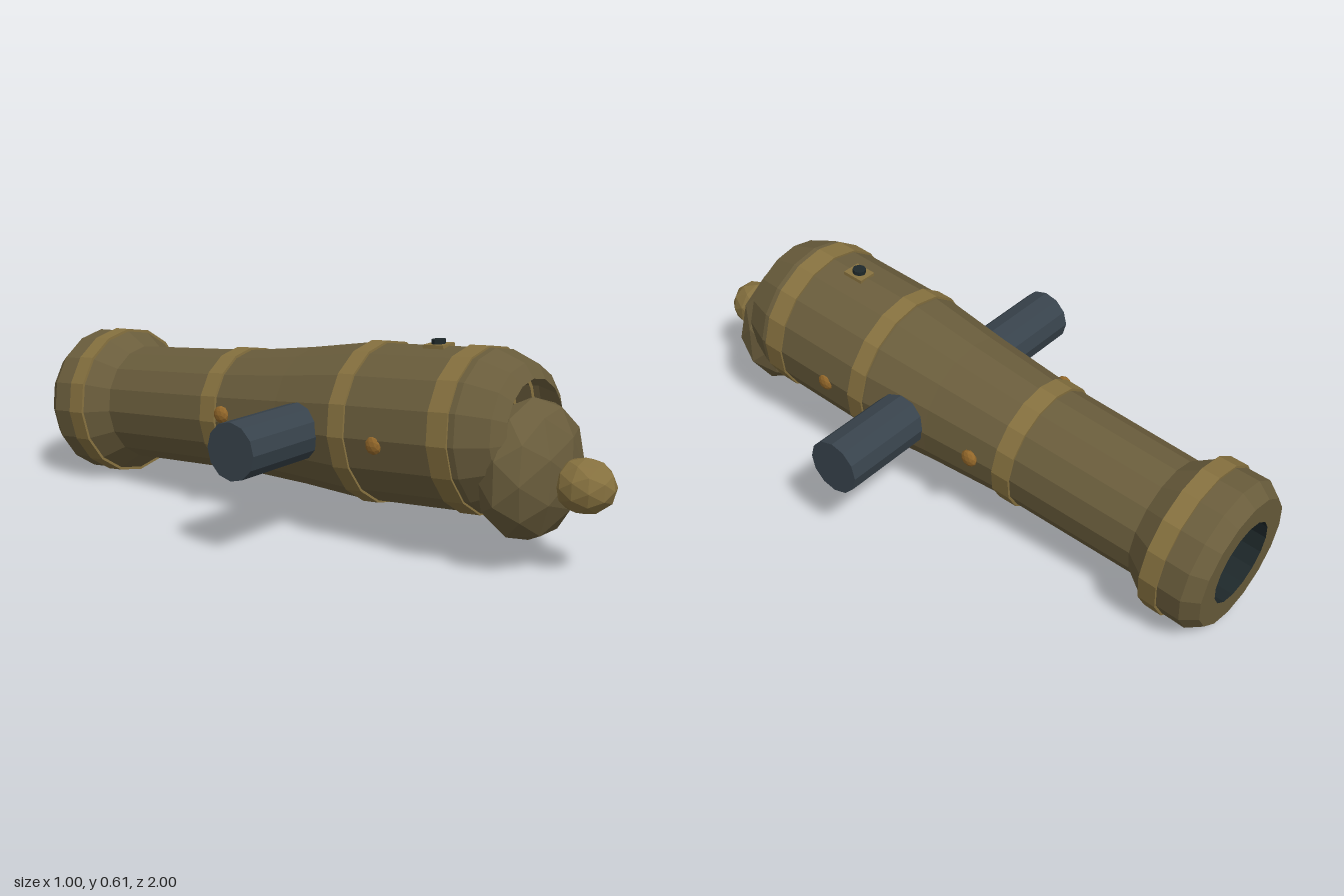
import * as THREE from 'three';

const SIDES = 16;
const mat = (color, side = THREE.FrontSide) =>
  new THREE.MeshStandardMaterial({ color, side, flatShading: true });

export function createModel() {
  const model = new THREE.Group();
  model.name = 'cannon';

  const bronze = mat(0x6a5d3c, THREE.DoubleSide);
  const brass = mat(0x86713f, THREE.DoubleSide);
  const iron = mat(0x38434c);
  const dark = mat(0x1e282a, THREE.DoubleSide);
  const copper = mat(0x94682a);

  const add = (parent, name, geometry, material, x = 0, y = 0, z = 0) => {
    const mesh = new THREE.Mesh(geometry, material);
    mesh.name = name;
    mesh.position.set(x, y, z);
    parent.add(mesh);
    return mesh;
  };
  // profile points are [radius, distance along the barrel]
  const lathe = (points) =>
    new THREE.LatheGeometry(points.map(([r, s]) => new THREE.Vector2(r, s)), SIDES);

  // Barrel group: local +y runs to the muzzle, local +z is up, dipped 5 degrees
  const barrel = new THREE.Group();
  barrel.name = 'barrel';
  barrel.position.set(0, 0.318, 0.08);
  barrel.rotation.x = THREE.MathUtils.degToRad(-95);
  model.add(barrel);

  // Hollow shell, open at the breech, with a flat ring at the muzzle
  add(barrel, 'barrelShell', lathe([
    [0.154, -0.676], [0.196, -0.65], [0.234, -0.56], [0.234, -0.13],
    [0.211, 0.09], [0.192, 0.34], [0.185, 0.817], [0.234, 0.89],
    [0.236, 1.02], [0.204, 1.066], [0.13, 1.066],
  ]), bronze);

  // Dark bore with a closed end
  add(barrel, 'bore', lathe([[0, 0.3], [0.13, 0.3], [0.13, 1.066]]), dark);

  // Raised bands: start, end, start radius, end radius
  for (const [s0, s1, r0, r1] of [
    [-0.54, -0.475, 0.24, 0.24], [-0.19, -0.135, 0.241, 0.241],
    [0.34, 0.4, 0.2, 0.199], [0.888, 0.945, 0.241, 0.242],
  ]) {
    add(barrel, 'band', lathe([[r0 - 0.02, s0], [r0, s0], [r1, s1], [r1 - 0.02, s1]]), brass);
  }

  // Vent plate and touch hole on top of the breech
  add(barrel, 'ventPlate', new THREE.BoxGeometry(0.06, 0.07, 0.05), brass, 0, -0.37, 0.214);
  const vent = add(barrel, 'ventHole', new THREE.CylinderGeometry(0.021, 0.021, 0.05, 8), dark, 0, -0.37, 0.227);
  vent.rotation.x = Math.PI / 2;

  // Trunnion bar through the barrel
  const trunnion = add(model, 'trunnion', new THREE.CylinderGeometry(0.085, 0.085, 1, 12), iron, 0, 0.318, 0.08);
  trunnion.rotation.z = Math.PI / 2;

  // Rivets on both sides
  const rivet = new THREE.IcosahedronGeometry(0.027, 1).scale(0.55, 1, 1);
  for (const side of [-1, 1]) {
    for (const z of [0.37, -0.2]) add(model, 'rivet', rivet, copper, side * 0.229, 0.328, z);
  }

  // Faceted breech ball and knob, a vertex pointing to the front
  const facetBall = (r, depth) => new THREE.IcosahedronGeometry(r, 1)
    .rotateX(Math.atan(2 / (1 + Math.sqrt(5))))
    .rotateZ(Math.PI / 2)
    .scale(1, 1, depth / r);
  add(model, 'breechBall', facetBall(0.205, 0.13), bronze, 0, 0.275, 0.74);
  add(model, 'breechKnob', facetBall(0.079, 0.09), brass, 0, 0.259, 0.91);

  return model;
}
